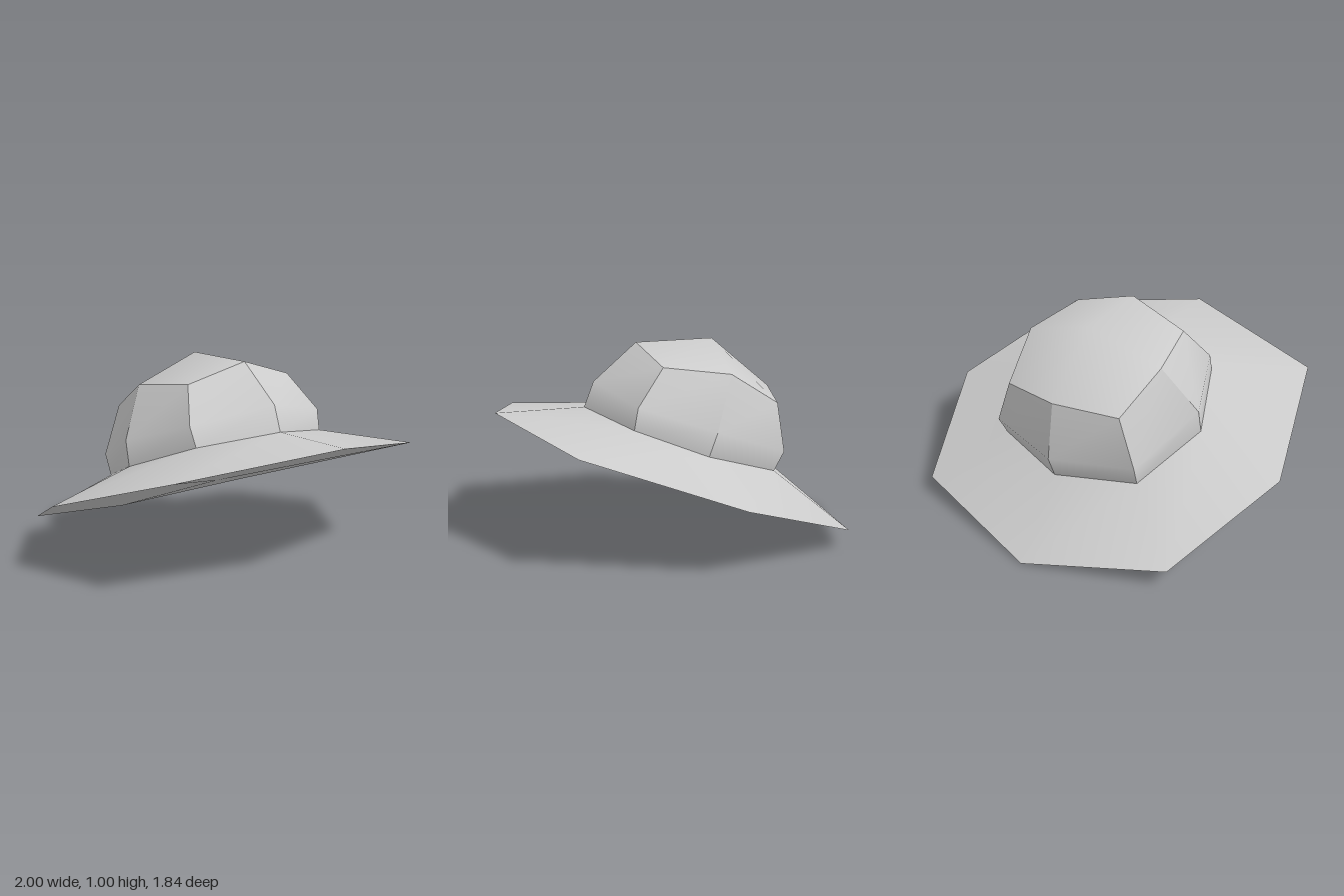
import * as THREE from 'three';

// Eight-point rings, starting at the front and running round past +x.
const rim = [[0.07, 0.665, 0.92], [0.77, 0.56, 0.63], [1, 0.325, -0.1], [0.67, 0.095, -0.75],
  [-0.1, 0, -0.92], [-0.78, 0.107, -0.65], [-1, 0.345, 0.01], [-0.75, 0.573, 0.73]];
const base = [[0.04, 0.67, 0.46], [0.43, 0.61, 0.29], [0.53, 0.48, -0.06], [0.37, 0.35, -0.46],
  [-0.04, 0.31, -0.57], [-0.44, 0.34, -0.42], [-0.55, 0.48, -0.02], [-0.38, 0.62, 0.34]];
const belly = [[0.04, 0.8, 0.41], [0.43, 0.72, 0.27], [0.54, 0.6, -0.1], [0.38, 0.45, -0.51],
  [-0.04, 0.43, -0.615], [-0.45, 0.45, -0.46], [-0.55, 0.61, -0.05], [-0.39, 0.72, 0.3]];
const shoulder = [[0.02, 0.993, 0.18], [0.34, 0.9, 0.12], [0.385, 0.86, -0.22], [0.3, 0.69, -0.5],
  [-0.04, 0.73, -0.57], [-0.36, 0.71, -0.46], [-0.4, 0.865, -0.17], [-0.31, 0.9, 0.16]];

const material = new THREE.MeshStandardMaterial({ color: 0xcccccc, side: THREE.DoubleSide });

function surface(name, points, index) {
  const geometry = new THREE.BufferGeometry();
  geometry.setAttribute('position', new THREE.Float32BufferAttribute(points.flat(), 3));
  geometry.setIndex(index);
  geometry.computeVertexNormals();
  const mesh = new THREE.Mesh(geometry, material);
  mesh.name = name;
  return mesh;
}

// Closed fan from a centre point to a ring.
function fan(name, ring, centre, flip = false) {
  const n = ring.length;
  const index = [];
  for (let i = 0; i < n; i++) {
    const j = (i + 1) % n;
    index.push(...(flip ? [n, j, i] : [n, i, j]));
  }
  return surface(name, [...ring, centre], index);
}

export function createModel() {
  const model = new THREE.Group();
  model.name = 'hat';

  // Sloping top of the brim, smooth all the way round
  const brimIndex = [];
  for (let i = 0; i < 8; i++) {
    const j = (i + 1) % 8;
    brimIndex.push(i, j, 8 + j, i, 8 + j, 8 + i);
  }
  model.add(surface('brimTop', [...rim, ...base], brimIndex));

  // Flat underside of the brim
  const middle = [0, 1, 2].map(k => rim.reduce((sum, p) => sum + p[k], 0) / 8);
  model.add(fan('brimUnderside', rim, middle, true));

  // Crown sides: each panel bends softly at the belly, with sharp corners between panels
  const sides = new THREE.Group();
  sides.name = 'crownSides';
  for (let i = 0; i < 8; i++) {
    const j = (i + 1) % 8;
    const corners = [base, belly, shoulder].flatMap(ring => [ring[i], ring[j]]);
    sides.add(surface('crownPanel', corners, [0, 1, 3, 0, 3, 2, 2, 3, 5, 2, 5, 4]));
  }
  model.add(sides);

  // Low domed top of the crown
  model.add(fan('crownTop', shoulder, [-0.01, 1, -0.24]));
  return model;
}
